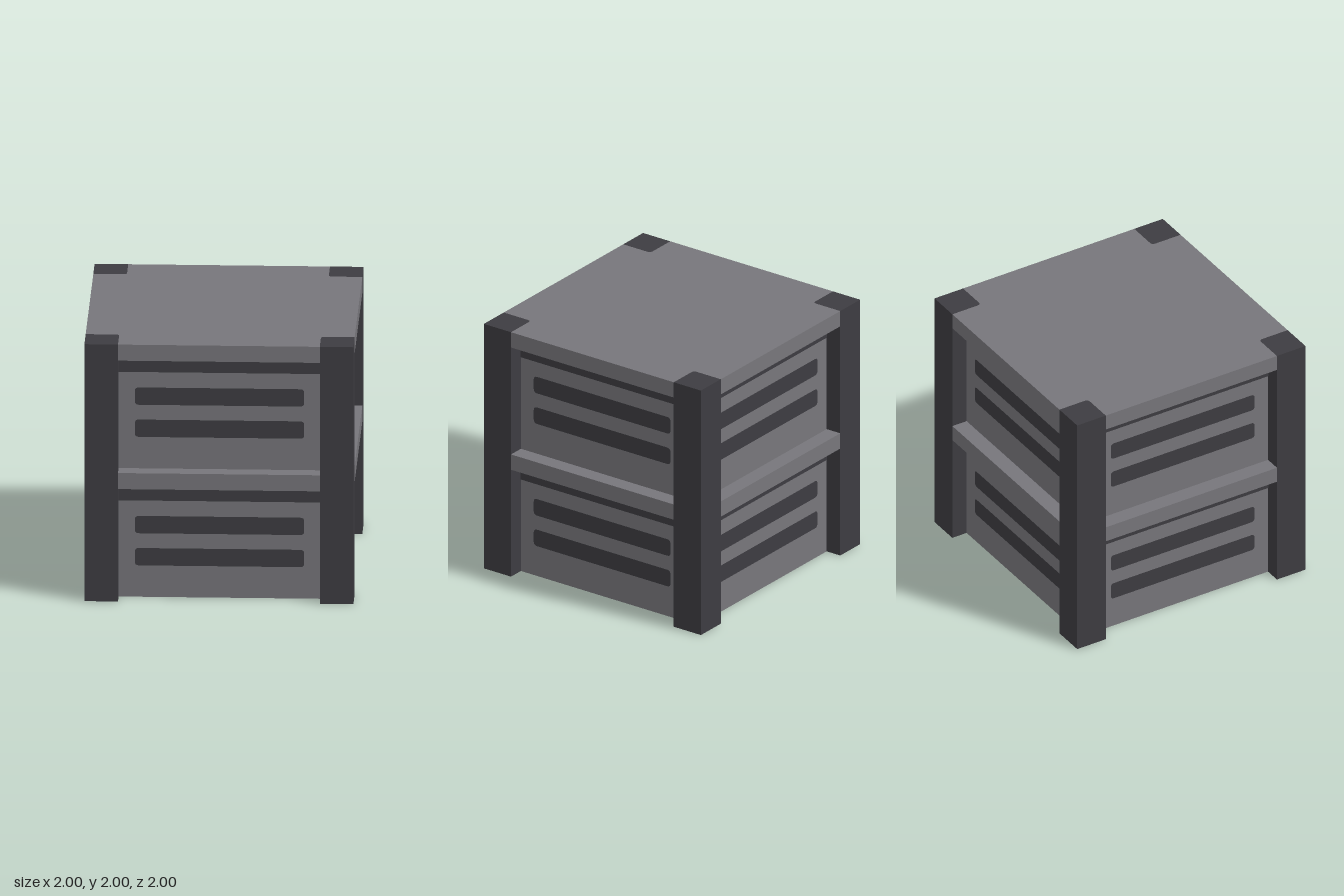
import * as THREE from 'three';

const light = new THREE.MeshStandardMaterial({ color: 0x77767b });
light.name = 'light grey';
const dark = new THREE.MeshStandardMaterial({ color: 0x3d3c41 });
dark.name = 'dark grey';

const IN = 0.75;    // inner side of the corner posts
const WALL = 0.875; // recessed wall distance
const R = 0.03;     // small corner rounding

function addMesh(parent, name, geometry, material) {
  const mesh = new THREE.Mesh(geometry, material);
  mesh.name = name;
  parent.add(mesh);
  return mesh;
}

// Extrudes a plan outline upward from y0 to y1
function slab(shape, y0, y1) {
  const g = new THREE.ExtrudeGeometry(shape, { depth: y1 - y0, bevelEnabled: false, curveSegments: 4 });
  return g.rotateX(-Math.PI / 2).translate(0, y0, 0);
}

// Square plan with its four corners notched to receive the posts
function notchedSquare(half) {
  const s = new THREE.Shape();
  for (let k = 0; k < 4; k++) {
    const c = [1, 0, -1, 0][k], n = [0, 1, 0, -1][k];
    const at = (x, y) => [x * c - y * n, x * n + y * c];
    if (k === 0) s.moveTo(...at(half, -IN));
    else s.lineTo(...at(half, -IN));
    s.lineTo(...at(half, IN));
    s.lineTo(...at(IN + R, IN));
    s.quadraticCurveTo(...at(IN, IN), ...at(IN, IN + R));
  }
  s.closePath();
  return s;
}

// Square post plan with a rounded inner corner
function postPlan() {
  const s = new THREE.Shape();
  s.moveTo(IN + R, IN);
  s.lineTo(1, IN);
  s.lineTo(1, 1);
  s.lineTo(IN, 1);
  s.lineTo(IN, IN + R);
  s.quadraticCurveTo(IN, IN, IN + R, IN);
  return s;
}

// Flat slot with rounded ends' corners
function slotPlate(w, h) {
  const x = w / 2, y = h / 2, s = new THREE.Shape();
  s.moveTo(-x + R, -y);
  s.lineTo(x - R, -y);
  s.quadraticCurveTo(x, -y, x, -y + R);
  s.lineTo(x, y - R);
  s.quadraticCurveTo(x, y, x - R, y);
  s.lineTo(-x + R, y);
  s.quadraticCurveTo(-x, y, -x, y - R);
  s.lineTo(-x, -y + R);
  s.quadraticCurveTo(-x, -y, -x + R, -y);
  return new THREE.ShapeGeometry(s, 4);
}

export function createModel() {
  const model = new THREE.Group();
  model.name = 'crate';

  // Two stacked tiers: recessed wall with a projecting ledge on top
  for (const base of [0, 1]) {
    const tier = base ? 'upper' : 'lower';
    addMesh(model, tier + 'Wall', slab(notchedSquare(WALL), base, base + 0.875), light);
    addMesh(model, tier + 'Ledge', slab(notchedSquare(1), base + 0.875, base + 1), light);
  }

  // Corner posts
  for (let k = 0; k < 4; k++) {
    addMesh(model, 'cornerPost', slab(postPlan(), 0, 2), dark).rotation.y = k * Math.PI / 2;
  }

  // Painted slots and the dark band under each ledge, on all four sides
  for (let k = 0; k < 4; k++) {
    const side = new THREE.Group();
    side.name = 'sideDetails';
    side.rotation.y = k * Math.PI / 2;
    for (const base of [0, 1]) {
      addMesh(side, 'ledgeBand', new THREE.PlaneGeometry(2 * IN, 0.125), dark)
        .position.set(0, base + 0.8125, WALL + 0.003);
      for (const y of [0.3125, 0.5625]) {
        addMesh(side, 'slot', slotPlate(1.26, 0.135), dark).position.set(0, base + y, WALL + 0.003);
      }
    }
    model.add(side);
  }
  return model;
}
